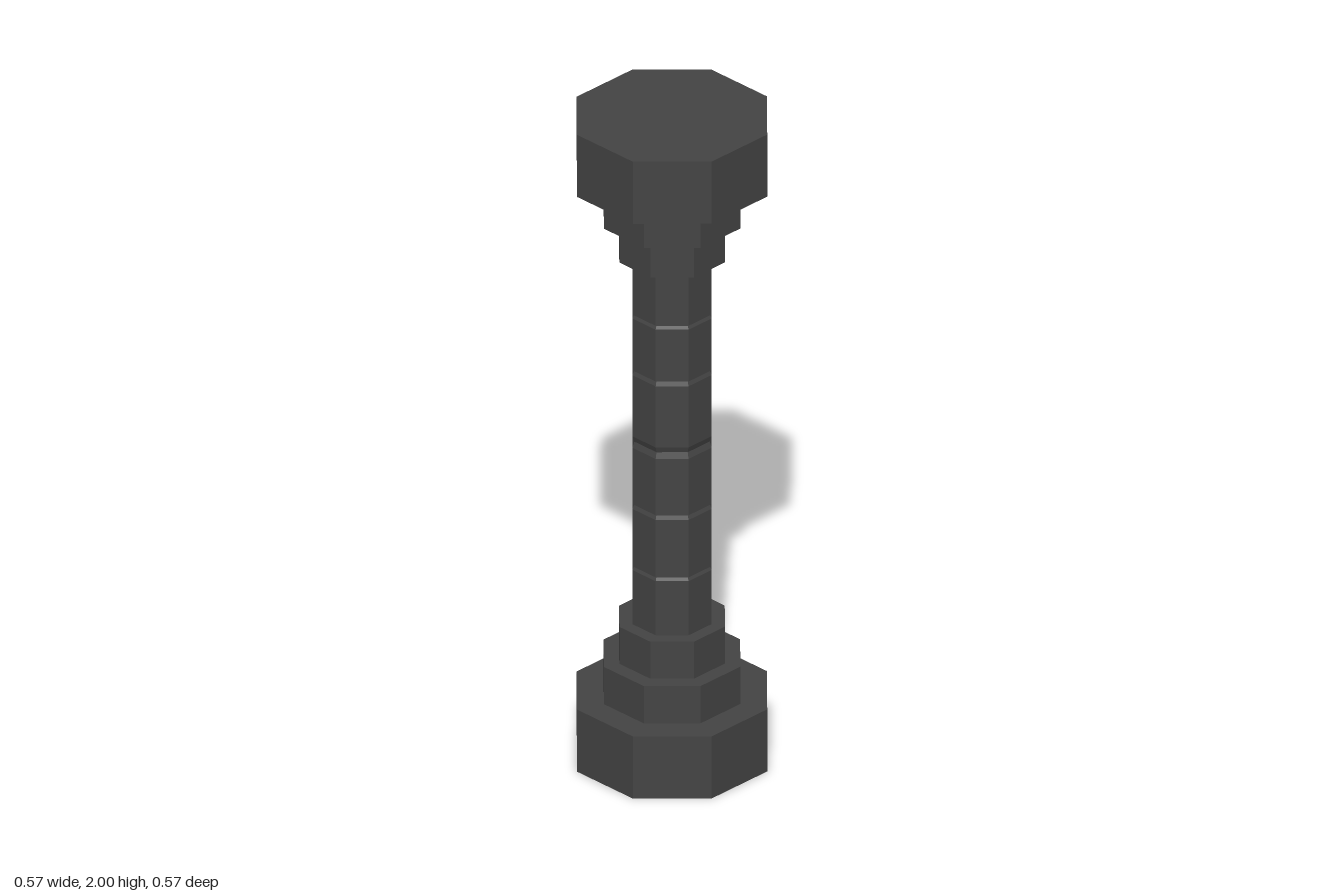
import * as THREE from 'three';

const SIDES = 8;

export function createModel() {
  const group = new THREE.Group();
  const stone = new THREE.MeshStandardMaterial({ color: 0x444444, flatShading: true });

  function add(name, geometry, y) {
    const mesh = new THREE.Mesh(geometry, stone);
    mesh.name = name;
    mesh.position.y = y;
    group.add(mesh);
  }

  // Octagonal steps, mirrored for the base and the capital
  const steps = [
    ['Slab', 0.283, 0, 0.195],
    ['Step', 0.203, 0.195, 0.312],
    ['Collar', 0.157, 0.312, 0.428],
  ];
  for (const [part, r, y0, y1] of steps) {
    const mid = (y0 + y1) / 2;
    add('base' + part, new THREE.CylinderGeometry(r, r, y1 - y0, SIDES), mid);
    add('capital' + part, new THREE.CylinderGeometry(r, r, y1 - y0, SIDES), 2 - mid);
  }

  // Shaft of stacked drums: [bottom, top, bottom bevel height, top bevel height]
  const R = 0.118, INSET = 0.006;
  const drums = [
    [0.428, 0.61, 0, 0.012],
    [0.61, 0.805, 0, 0.015],
    [0.805, 1.0, 0, 0.018],
    [1.0, 1.225, 0.018, 0.015],
    [1.225, 1.4, 0, 0.012],
    [1.4, 1.572, 0, 0],
  ];
  drums.forEach(([y0, y1, low, high], i) => {
    const h = y1 - y0;
    const profile = [new THREE.Vector2(0, 0)];
    if (low) profile.push(new THREE.Vector2(R - INSET, 0));
    profile.push(new THREE.Vector2(R, low), new THREE.Vector2(R, h - high));
    if (high) profile.push(new THREE.Vector2(R - INSET, h));
    profile.push(new THREE.Vector2(0, h));
    add('shaftDrum' + (i + 1), new THREE.LatheGeometry(profile, SIDES), y0);
  });

  return group;
}
